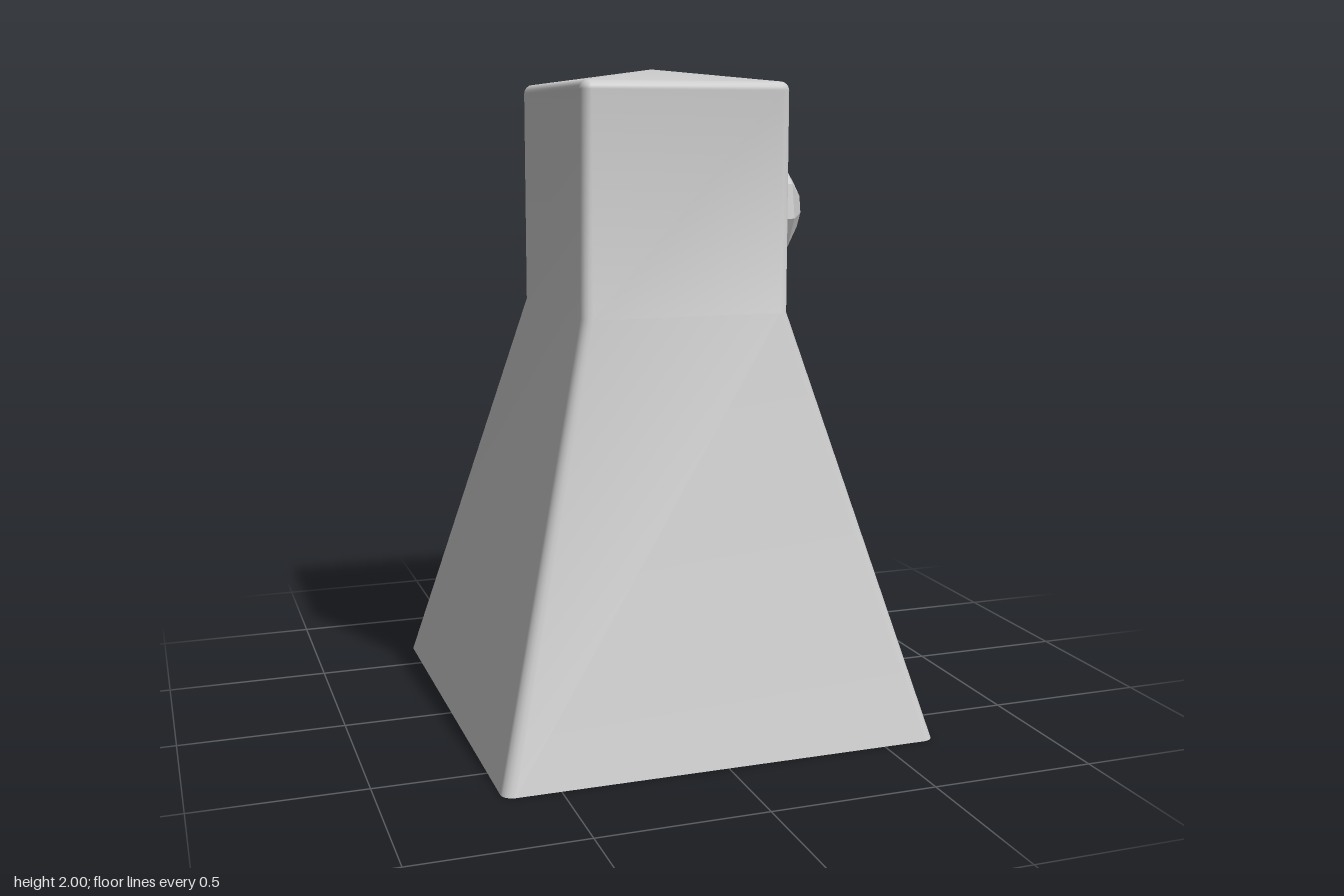
import * as THREE from 'three';

const CORNER_STEPS = 4;

// Rounded rectangle at height y, running from +x towards +z
function section(y, hx, hz, r) {
  const pts = [];
  const signs = [[1, 1], [-1, 1], [-1, -1], [1, -1]];
  signs.forEach(([sx, sz], q) => {
    for (let k = 0; k <= CORNER_STEPS; k++) {
      const a = (q + k / CORNER_STEPS) * Math.PI / 2;
      pts.push(sx * (hx - r) + r * Math.cos(a), y, sz * (hz - r) + r * Math.sin(a));
    }
  });
  return pts;
}

// Smooth loft through the sections, closed by a shallow peak
function loft(sections, apexY) {
  const n = 4 * (CORNER_STEPS + 1);
  const pos = sections.flat();
  const index = [];
  for (let s = 0; s < sections.length - 1; s++) {
    for (let i = 0; i < n; i++) {
      const j = (i + 1) % n;
      const a = s * n + i, b = s * n + j;
      index.push(a, a + n, b, b, a + n, b + n);
    }
  }
  const top = (sections.length - 1) * n;
  const apex = pos.length / 3;
  pos.push(0, apexY, 0);
  for (let i = 0; i < n; i++) index.push(apex, top + (i + 1) % n, top + i);
  const g = new THREE.BufferGeometry();
  g.setAttribute('position', new THREE.Float32BufferAttribute(pos, 3));
  g.setIndex(index);
  g.computeVertexNormals();
  return g;
}

export function createModel() {
  const group = new THREE.Group();
  const smooth = new THREE.MeshStandardMaterial({ color: 0xcccccc });
  const faceted = new THREE.MeshStandardMaterial({ color: 0xcccccc, flatShading: true });

  // Flared body with a square neck and a bevelled top edge
  const sections = [
    section(0, 0.667, 0.693, 0.035),
    section(1.27, 0.325, 0.34, 0.03),
  ];
  const bevel = 0.027;
  for (let k = 0; k <= 4; k++) {
    const a = k / 4 * Math.PI / 2;
    const inset = bevel * (1 - Math.cos(a));
    sections.push(section(1.931 + bevel * Math.sin(a), 0.325 - inset, 0.34 - inset, 0.03 - inset));
  }
  const body = new THREE.Mesh(loft(sections, 2), smooth);
  body.name = 'body';
  group.add(body);

  // Flat underside
  const outline = section(0, 0.667, 0.693, 0.035);
  const shape = new THREE.Shape();
  for (let i = 0; i < outline.length; i += 3) {
    if (i === 0) shape.moveTo(outline[0], outline[2]);
    else shape.lineTo(outline[i], outline[i + 2]);
  }
  const base = new THREE.Mesh(new THREE.ShapeGeometry(shape).rotateX(Math.PI / 2), smooth);
  base.name = 'base';
  group.add(base);

  // Nine-sided knob on the left face
  const profile = [[0, 0], [0.18, 0], [0.157, 0.105], [0.077, 0.16], [0, 0.16]]
    .map(([r, h]) => new THREE.Vector2(r, h));
  const knobGeometry = new THREE.LatheGeometry(profile, 9, Math.PI / 2).rotateZ(-Math.PI / 2);
  const knob = new THREE.Mesh(knobGeometry, faceted);
  knob.position.set(0.312, 1.57, 0.008);
  knob.name = 'knob';
  group.add(knob);

  return group;
}
